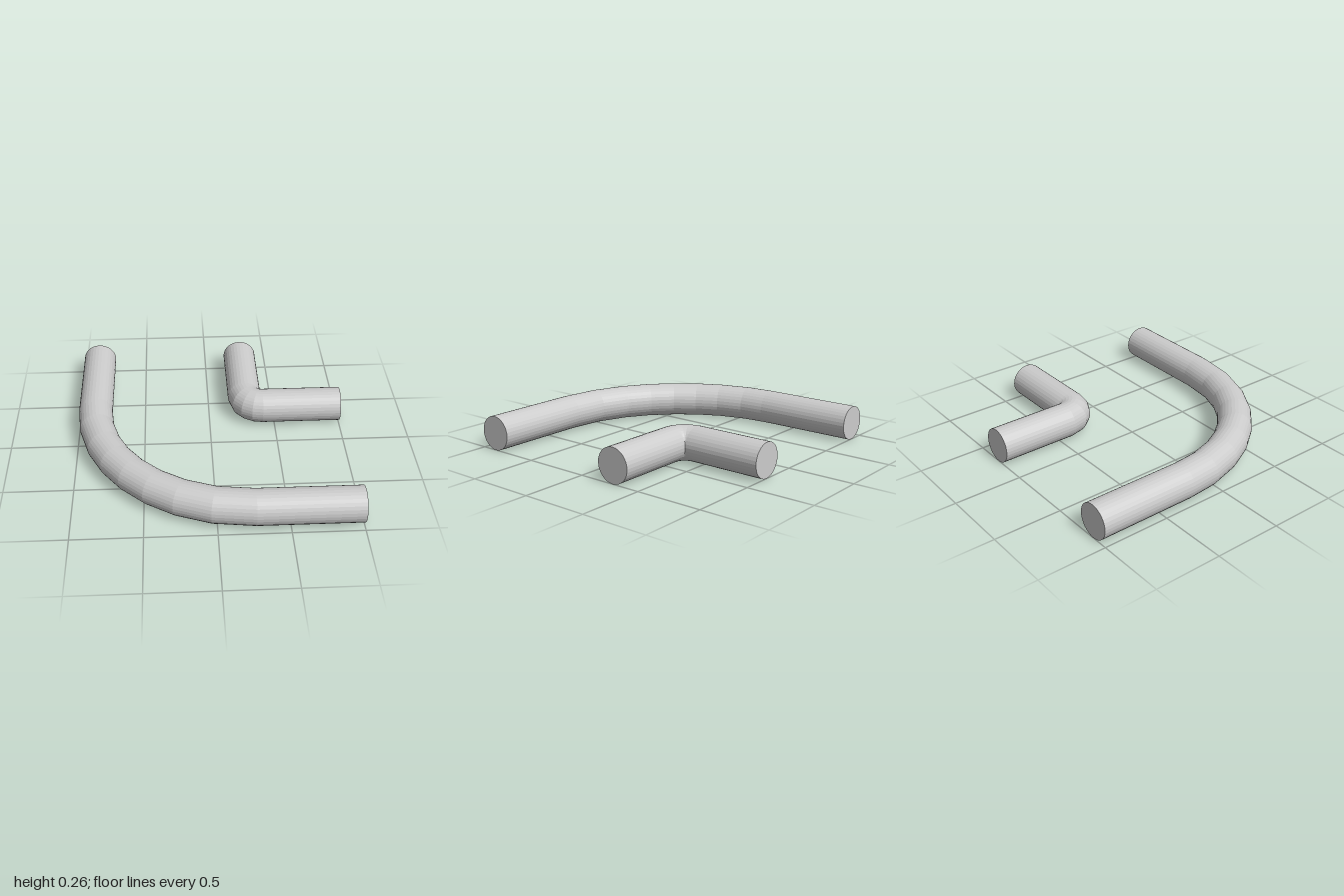
import * as THREE from 'three';

const SIDES = 32;
const RADIUS = 0.128;

// Round bar with straight legs running to z = -1 and x = 1, joined by a 90 degree bend.
function bentBar(name, cx, cz, bendRadius, degrees) {
  const pos = [], index = [];
  const bend = degrees.map(d => ({ a: THREE.MathUtils.degToRad(d), dx: 0, dz: 0 }));
  const stations = [
    { a: 0, dx: 0, dz: -1 - cz },
    ...bend,
    { a: Math.PI / 2, dx: 1 - cx, dz: 0 },
  ];

  // one ring per station, in a plane through the bend centre
  for (const { a, dx, dz } of stations) {
    for (let j = 0; j < SIDES; j++) {
      const b = (j / SIDES) * Math.PI * 2;
      const out = bendRadius + RADIUS * Math.cos(b);
      pos.push(cx + dx - Math.cos(a) * out, RADIUS + RADIUS * Math.sin(b), cz + dz + Math.sin(a) * out);
    }
  }

  // skin between rings
  for (let i = 0; i < stations.length - 1; i++) {
    for (let j = 0; j < SIDES; j++) {
      const k = (j + 1) % SIDES;
      const p = i * SIDES + j, q = i * SIDES + k;
      index.push(p, p + SIDES, q, q, p + SIDES, q + SIDES);
    }
  }

  // flat end caps
  const last = (stations.length - 1) * SIDES;
  const startCentre = pos.length / 3;
  pos.push(cx - bendRadius, RADIUS, -1, 1, RADIUS, cz + bendRadius);
  for (let j = 0; j < SIDES; j++) {
    const k = (j + 1) % SIDES;
    index.push(startCentre, j, k, startCentre + 1, last + k, last + j);
  }

  const indexed = new THREE.BufferGeometry();
  indexed.setAttribute('position', new THREE.Float32BufferAttribute(pos, 3));
  indexed.setIndex(index);
  const geometry = indexed.toNonIndexed();
  geometry.computeVertexNormals();

  const mesh = new THREE.Mesh(geometry, new THREE.MeshStandardMaterial({ color: 0xcccccc, flatShading: true }));
  mesh.name = name;
  return mesh;
}

export function createModel() {
  const group = new THREE.Group();
  group.name = 'bentBars';

  // wide sweeping bar
  group.add(bentBar('outerBar', 0.26, -0.26, 1.132, [0, 10.5, 22, 32, 42, 52.5, 63.5, 76, 90]));

  // tight elbow, its inner corner pinched to a point
  group.add(bentBar('innerElbow', 0.405, -0.41, RADIUS, [0, 28.5, 50.5, 71, 90]));

  return group;
}
